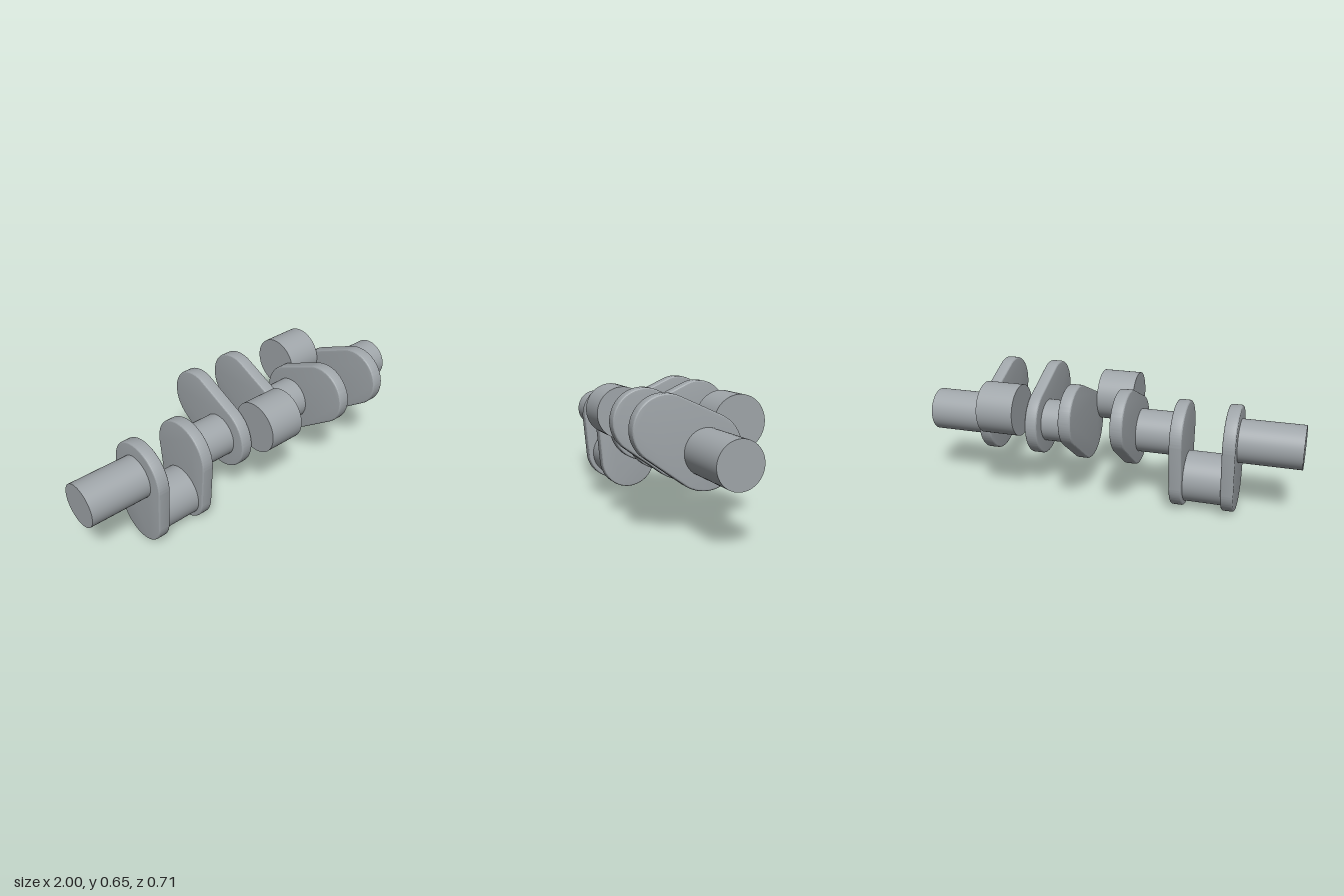
import * as THREE from 'three';
import { toCreasedNormals } from 'three/addons/utils/BufferGeometryUtils.js';

const AXIS_Y = 0.383;   // height of the main shaft
const THROW = 0.225;    // crank radius
const PITCH = 0.517;    // spacing of the throws
const WEB_X = 0.132;    // web distance from the throw centre
const WEB_T = 0.065;    // web thickness

// Tapered web with two round ends and softly rounded edges, pointing up (+y)
function webGeometry() {
  const R = 0.18, r = 0.158, round = 0.01;
  const tilt = Math.asin((R - r) / THROW);
  const shape = new THREE.Shape();
  shape.absarc(0, 0, R, Math.PI - tilt, Math.PI * 2 + tilt, false);
  shape.absarc(0, THROW, r, tilt, Math.PI - tilt, false);
  shape.closePath();
  const geo = new THREE.ExtrudeGeometry(shape, {
    depth: WEB_T - 2 * round,
    curveSegments: 48,
    bevelSize: round,
    bevelThickness: round,
    bevelOffset: -round,
    bevelSegments: 4,
  });
  geo.translate(0, 0, round - WEB_T / 2);
  geo.rotateY(Math.PI / 2);
  return toCreasedNormals(geo, 0.35);
}

// Cylinder along x between two positions
function rodGeometry(x0, x1, radius) {
  const geo = new THREE.CylinderGeometry(radius, radius, x1 - x0, 72);
  geo.rotateZ(-Math.PI / 2);
  geo.translate((x0 + x1) / 2, 0, 0);
  return geo;
}

export function createModel() {
  const model = new THREE.Group();
  model.name = 'crankshaft';
  const steel = new THREE.MeshStandardMaterial({ color: 0xa0a6aa });
  steel.name = 'steel grey';

  const shaft = new THREE.Group();
  shaft.name = 'shaft';
  shaft.position.y = AXIS_Y;
  model.add(shaft);

  const add = (parent, name, geo) => {
    const mesh = new THREE.Mesh(geo, steel);
    mesh.name = name;
    parent.add(mesh);
    return mesh;
  };

  // Main journals: two shaft ends and two pieces between the throws
  const outer = PITCH + WEB_X, inner = PITCH - WEB_X;
  const journals = [[-1, -outer], [-inner, -WEB_X], [WEB_X, inner], [outer, 1]];
  for (const [x0, x1] of journals) add(shaft, 'mainJournal', rodGeometry(x0, x1, 0.112));

  // Throws: a pair of webs and a crank pin, each turned about the shaft
  const web = webGeometry();
  const pin = rodGeometry(-0.098, 0.098, 0.133);
  pin.translate(0, THROW, 0);
  const third = Math.PI / 3;
  const throws = [
    { name: 'rightThrow', x: -PITCH, webTurn: Math.PI, pinTurn: Math.PI },
    { name: 'middleThrow', x: 0, webTurn: -third, pinTurn: third },
    { name: 'leftThrow', x: PITCH, webTurn: third, pinTurn: -third },
  ];
  for (const { name, x, webTurn, pinTurn } of throws) {
    const group = new THREE.Group();
    group.name = name;
    group.position.x = x;
    shaft.add(group);
    for (const side of [-1, 1]) {
      const mesh = add(group, 'web', web);
      mesh.position.x = side * WEB_X;
      mesh.rotation.x = webTurn;
    }
    add(group, 'crankPin', pin).rotation.x = pinTurn;
  }
  return model;
}
